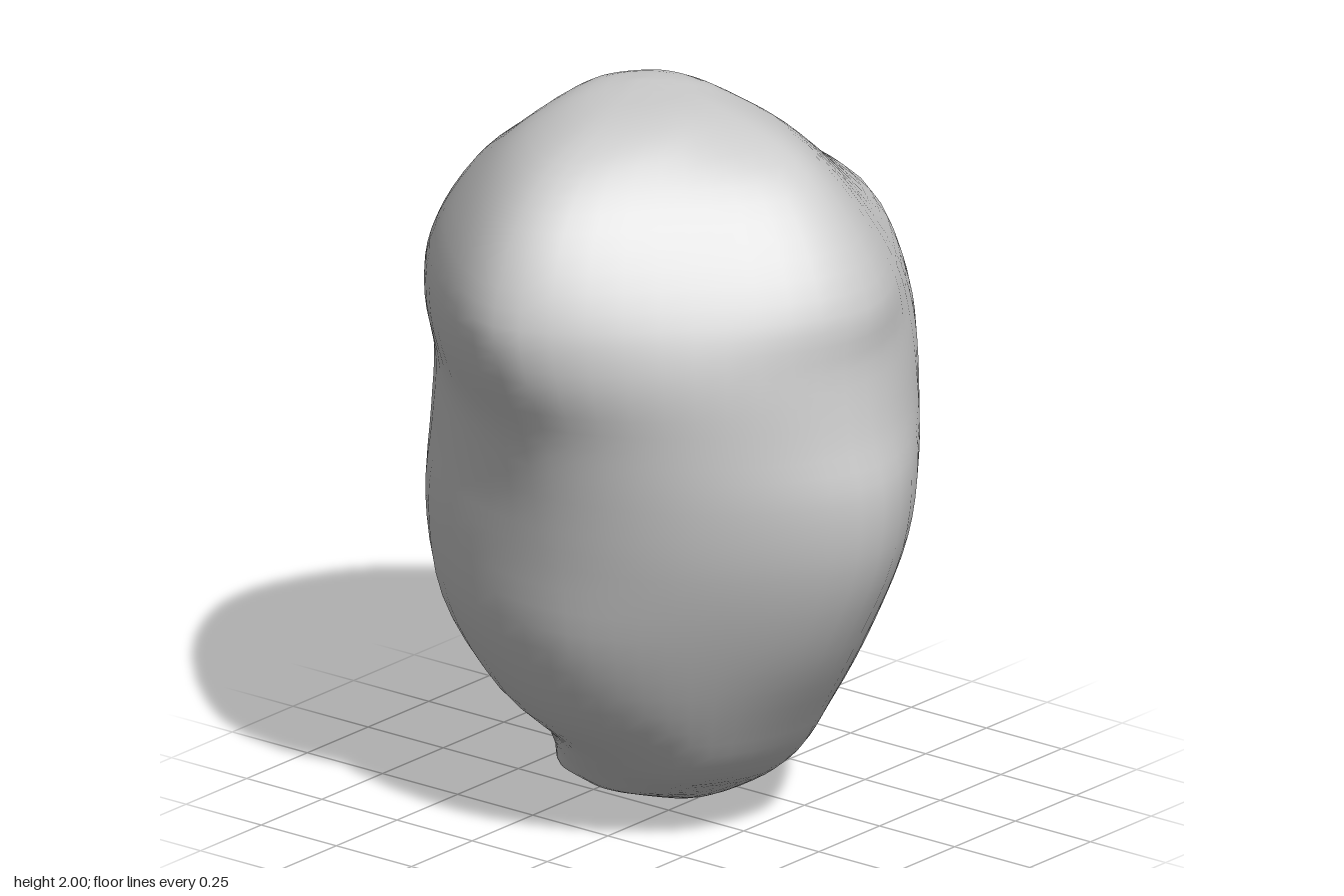
import * as THREE from 'three';
import { mergeVertices } from 'three/addons/utils/BufferGeometryUtils.js';

// Cross-sections from top to bottom: height, then the reach in eight directions
// in 45 degree steps: +x, +x+z, +z, -x+z, -x, -x-z, -z, +x-z
const LEVELS = [
  [1.975, 0.13, 0.11, 0.15, 0.25, 0.32, 0.25, 0.22, 0.18],
  [1.89, 0.27, 0.29, 0.42, 0.39, 0.52, 0.40, 0.33, 0.34],
  [1.74, 0.47, 0.45, 0.58, 0.52, 0.67, 0.53, 0.54, 0.55],
  [1.55, 0.715, 0.585, 0.69, 0.63, 0.75, 0.62, 0.69, 0.69],
  [1.40, 0.735, 0.635, 0.695, 0.67, 0.73, 0.625, 0.75, 0.73],
  [1.22, 0.67, 0.645, 0.725, 0.67, 0.65, 0.59, 0.745, 0.705],
  [1.05, 0.645, 0.635, 0.765, 0.66, 0.61, 0.60, 0.735, 0.685],
  [0.85, 0.635, 0.61, 0.74, 0.625, 0.58, 0.62, 0.715, 0.725],
  [0.60, 0.625, 0.545, 0.62, 0.54, 0.54, 0.585, 0.64, 0.745],
  [0.36, 0.57, 0.45, 0.455, 0.42, 0.42, 0.45, 0.53, 0.67],
  // the tip leans to the back left, so its reach can be negative
  [0.20, 0.45, 0.355, 0.33, 0.30, 0.24, 0.30, 0.475, 0.55],
  [0.10, 0.33, 0.24, 0.20, 0.12, 0.12, 0.25, 0.45, 0.45],
  [0.02, 0.15, 0.01, 0.02, -0.08, 0.02, 0.19, 0.41, 0.31],
];
// Sideways offset of each direction, so the ridges are not evenly spaced
const SHIFT = [0, 0, 0.06, 0, -0.04, 0.05, 0.08, 0];
const TOP = new THREE.Vector3(-0.02, 2, -0.08);
const BOTTOM = new THREE.Vector3(0.09, 0, -0.28);
const RINGS = 56, SIDES = 48;

// Eight points of one cross-section; towards the tip the middle moves off the axis
function section([y, ...reach]) {
  const lean = 1 - THREE.MathUtils.smoothstep(y, 0.1, 0.6);
  const cx = lean * (reach[0] - reach[4]) / 2, cz = lean * (reach[2] - reach[6]) / 2;
  const amount = THREE.MathUtils.smoothstep(y, 0.2, 0.7) * (1 - THREE.MathUtils.smoothstep(y, 1.2, 1.95));
  return reach.map((h, k) => {
    const c = Math.cos(k * Math.PI / 4), s = Math.sin(k * Math.PI / 4);
    const r = h - cx * c - cz * s, t = SHIFT[k] * amount;
    return new THREE.Vector3(cx + r * c - t * s, y, cz + r * s + t * c);
  });
}

function boulderGeometry() {
  const sections = LEVELS.map(section);
  // Eight curves run from the top to the bottom
  const ribs = Array.from({ length: 8 }, (_, k) =>
    new THREE.CatmullRomCurve3([TOP, ...sections.map(s => s[k]), BOTTOM]));
  const positions = [], index = [];
  for (let i = 0; i <= RINGS; i++) {
    const end = i === 0 ? TOP : i === RINGS ? BOTTOM : null;
    const ring = end ? null : new THREE.CatmullRomCurve3(ribs.map(r => r.getPoint(i / RINGS)), true);
    for (let j = 0; j < SIDES; j++) {
      const p = end || ring.getPoint(j / SIDES);
      positions.push(p.x, Math.min(2, Math.max(0, p.y)), p.z);
      if (i === RINGS) continue;
      const a = i * SIDES + j, b = i * SIDES + (j + 1) % SIDES;
      if (i < RINGS - 1) index.push(a, b + SIDES, a + SIDES);
      if (i > 0) index.push(a, b, b + SIDES);
    }
  }
  const geometry = new THREE.BufferGeometry();
  geometry.setAttribute('position', new THREE.Float32BufferAttribute(positions, 3));
  geometry.setIndex(index);
  const merged = mergeVertices(geometry);
  merged.computeVertexNormals();
  return merged;
}

export function createModel() {
  const group = new THREE.Group();
  group.name = 'rock';
  const boulder = new THREE.Mesh(boulderGeometry(), new THREE.MeshStandardMaterial({ color: 0xcccccc }));
  boulder.name = 'boulder';
  group.add(boulder);
  return group;
}
